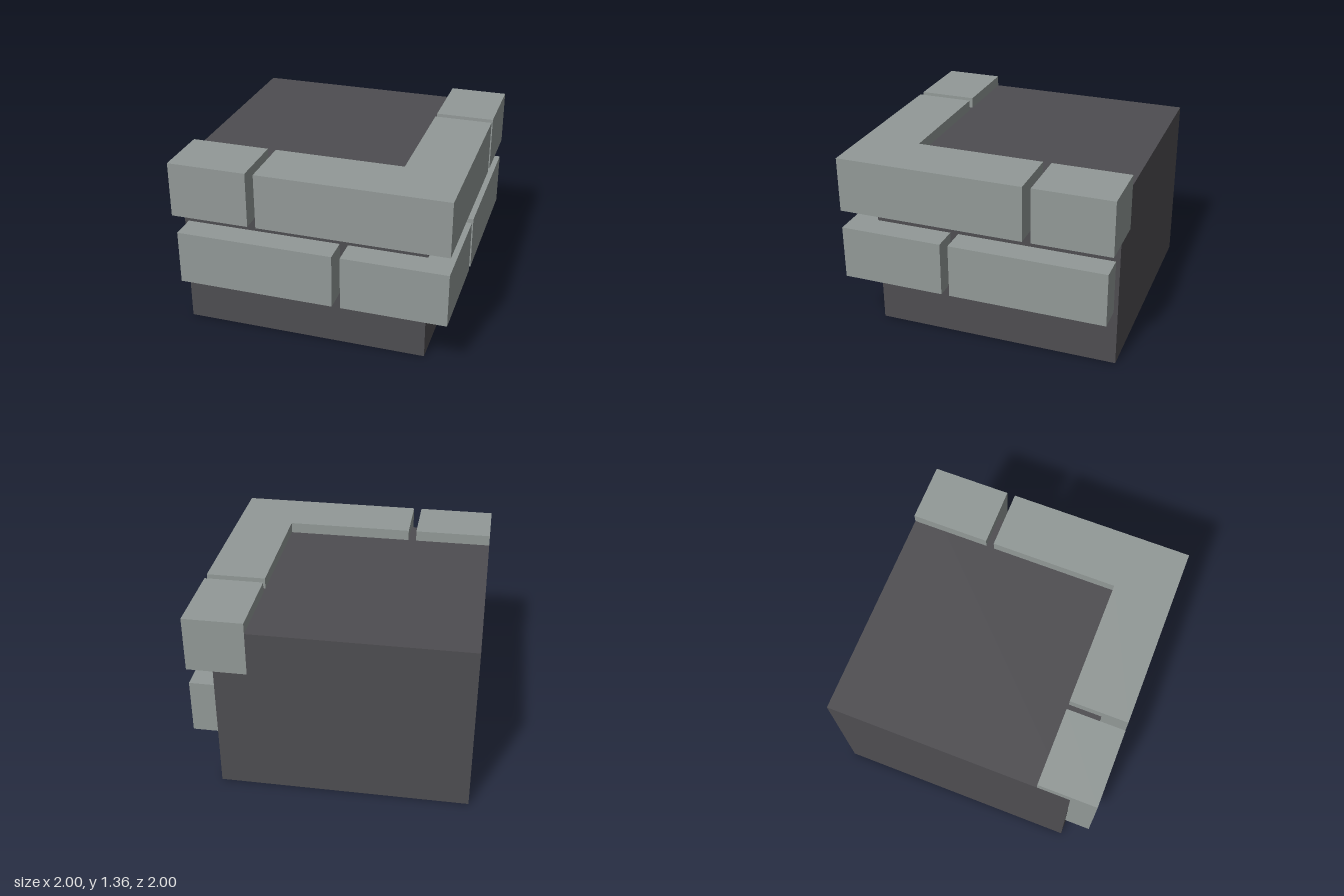
import * as THREE from 'three';

export function createModel() {
  const model = new THREE.Group();
  model.name = 'brickWallCorner';
  const brick = new THREE.MeshStandardMaterial({ color: 0x929997 });
  brick.name = 'brick grey';
  const mortar = new THREE.MeshStandardMaterial({ color: 0x4e4d51 });
  mortar.name = 'mortar dark grey';

  const INNER = 0.57; // inner edge of every brick
  const OUTER = 1;    // outer brick face
  const CORE = 0.81;  // recessed mortar face

  // Box given by its min and max corners
  function box(name, material, [x0, y0, z0], [x1, y1, z1]) {
    const mesh = new THREE.Mesh(new THREE.BoxGeometry(x1 - x0, y1 - y0, z1 - z0), material);
    mesh.position.set((x0 + x1) / 2, (y0 + y1) / 2, (z0 + z1) / 2);
    mesh.name = name;
    model.add(mesh);
  }

  // L-shaped brick wrapping the front corner, both arms reaching back to `start`
  function cornerBrick(name, start, y0, y1) {
    const plan = start < INNER
      ? [[start, INNER], [INNER, INNER], [INNER, start], [OUTER, start], [OUTER, OUTER], [start, OUTER]]
      : [];
    const shape = new THREE.Shape(plan.map(([x, z]) => new THREE.Vector2(x, -z)));
    const geometry = new THREE.ExtrudeGeometry(shape, { depth: y1 - y0, bevelEnabled: false });
    geometry.rotateX(-Math.PI / 2);
    const mesh = new THREE.Mesh(geometry, brick);
    mesh.position.y = y0;
    mesh.name = name;
    model.add(mesh);
  }

  // Mortar core
  box('mortarCore', mortar, [-1, 0, -1], [CORE, 1.28, CORE]);

  // Two brick courses; the outer ends are nudged so they never share a plane with the core
  const courses = [
    { name: 'lower', y0: 0.42, y1: 0.82, frontEnd: -0.97, sideEnd: -0.97, gap: [0.18, 0.24] },
    { name: 'upper', y0: 0.955, y1: 1.36, frontEnd: -0.999, sideEnd: -1.001, gap: [-0.427, -0.367] },
  ];
  for (const { name, y0, y1, frontEnd, sideEnd, gap } of courses) {
    cornerBrick(name + 'CornerBrick', gap[1], y0, y1);
    box(name + 'FrontBrick', brick, [frontEnd, y0, INNER], [gap[0], y1, OUTER]);
    box(name + 'SideBrick', brick, [INNER, y0, sideEnd], [OUTER, y1, gap[0]]);
  }
  return model;
}
